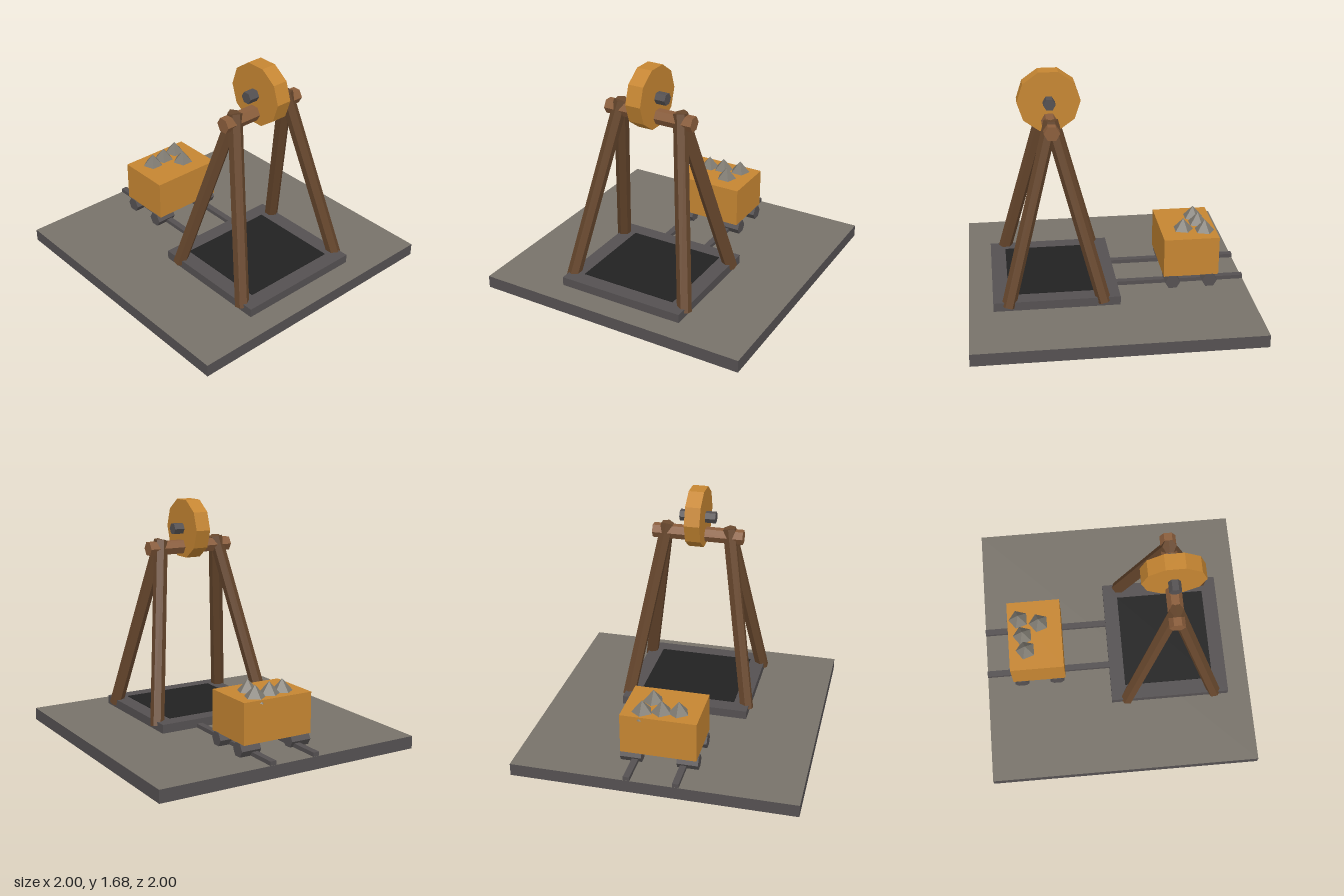
import * as THREE from 'three';

const material = (name, color, side = THREE.FrontSide) =>
  new THREE.MeshStandardMaterial({ name, color, side, flatShading: true });

export function createModel() {
  const ground = material('ground', 0x78736a, THREE.DoubleSide);
  const iron = material('iron', 0x555152, THREE.DoubleSide);
  const pitBlack = material('pitBlack', 0x222222);
  const timber = material('timber', 0x67472d);
  const paleTimber = material('paleTimber', 0x8b5e3c);
  const ochre = material('ochre', 0xc68632);
  const stone = material('stone', 0x7d7970);

  const model = new THREE.Group();
  model.name = 'mineHeadframe';

  const add = (name, geometry, mat, x, y, z, parent = model) => {
    const mesh = new THREE.Mesh(geometry, mat);
    mesh.name = name;
    mesh.position.set(x, y, z);
    parent.add(mesh);
    return mesh;
  };
  // Box given by its centre in x and z and its bottom and top heights
  const box = (name, mat, w, d, y0, y1, x, z, parent) =>
    add(name, new THREE.BoxGeometry(w, y1 - y0, d), mat, x, (y0 + y1) / 2, z, parent);
  // Faceted cylinder lying along x
  const roller = (name, mat, r, length, sides, x, y, z, parent) =>
    add(name, new THREE.CylinderGeometry(r, r, length, sides).rotateZ(Math.PI / 2), mat, x, y, z, parent);

  // Ground slab, open underneath: a sheet on a four-sided skirt
  add('groundTop', new THREE.PlaneGeometry(2, 2).rotateX(-Math.PI / 2), ground, 0, 0.09, 0);
  add('groundSkirt',
    new THREE.CylinderGeometry(Math.SQRT2, Math.SQRT2, 0.09, 4, 1, true).rotateY(Math.PI / 4),
    iron, 0, 0.045, 0);

  // Shaft collar and dark opening
  box('shaftCollar', iron, 0.94, 0.89, 0.091, 0.155, 0, 0.385);
  box('shaftOpening', pitBlack, 0.715, 0.67, 0.152, 0.159, 0, 0.385);

  // Rails
  for (const s of [-1, 1]) box('rail', iron, 0.045, 0.99, 0.091, 0.12, s * 0.17, -0.505);

  // Headframe: four splayed legs and a cross beam
  const headframe = new THREE.Group();
  headframe.name = 'headframe';
  model.add(headframe);
  const up = new THREE.Vector3(0, 1, 0);
  for (const sx of [-1, 1]) {
    for (const sz of [-1, 1]) {
      const foot = new THREE.Vector3(sx * 0.453, 0.115, 0.39 + sz * 0.335);
      const head = new THREE.Vector3(sx * 0.23, 1.39, 0.39);
      const span = head.clone().sub(foot);
      const mid = foot.clone().add(head).multiplyScalar(0.5);
      const leg = add('leg', new THREE.CylinderGeometry(0.05, 0.05, span.length(), 6), timber,
        mid.x, mid.y, mid.z, headframe);
      leg.quaternion.setFromUnitVectors(up, span.normalize());
    }
  }
  roller('crossBeam', paleTimber, 0.055, 0.67, 6, 0, 1.336, 0.39, headframe);

  // Winding wheel and axle
  roller('windingWheel', ochre, 0.22, 0.112, 10, 0, 1.47, 0.39, headframe);
  roller('windingAxle', iron, 0.043, 0.265, 6, 0, 1.47, 0.39, headframe);

  // Ore cart
  const cart = new THREE.Group();
  cart.name = 'oreCart';
  model.add(cart);
  box('cartBody', ochre, 0.535, 0.4, 0.18, 0.47, 0, -0.6, cart);
  for (const sx of [-1, 1]) {
    for (const z of [-0.465, -0.735]) {
      roller('cartWheel', iron, 0.055, 0.15, 6, sx * 0.2, 0.135, z, cart);
    }
  }

  // Ore heap
  for (const [x, z] of [[-0.115, -0.675], [0, -0.69], [0.13, -0.715], [0.09, -0.565]]) {
    add('ore', new THREE.ConeGeometry(0.097, 0.11, 5).rotateY(Math.PI), stone, x, 0.5, z, cart);
  }

  return model;
}
